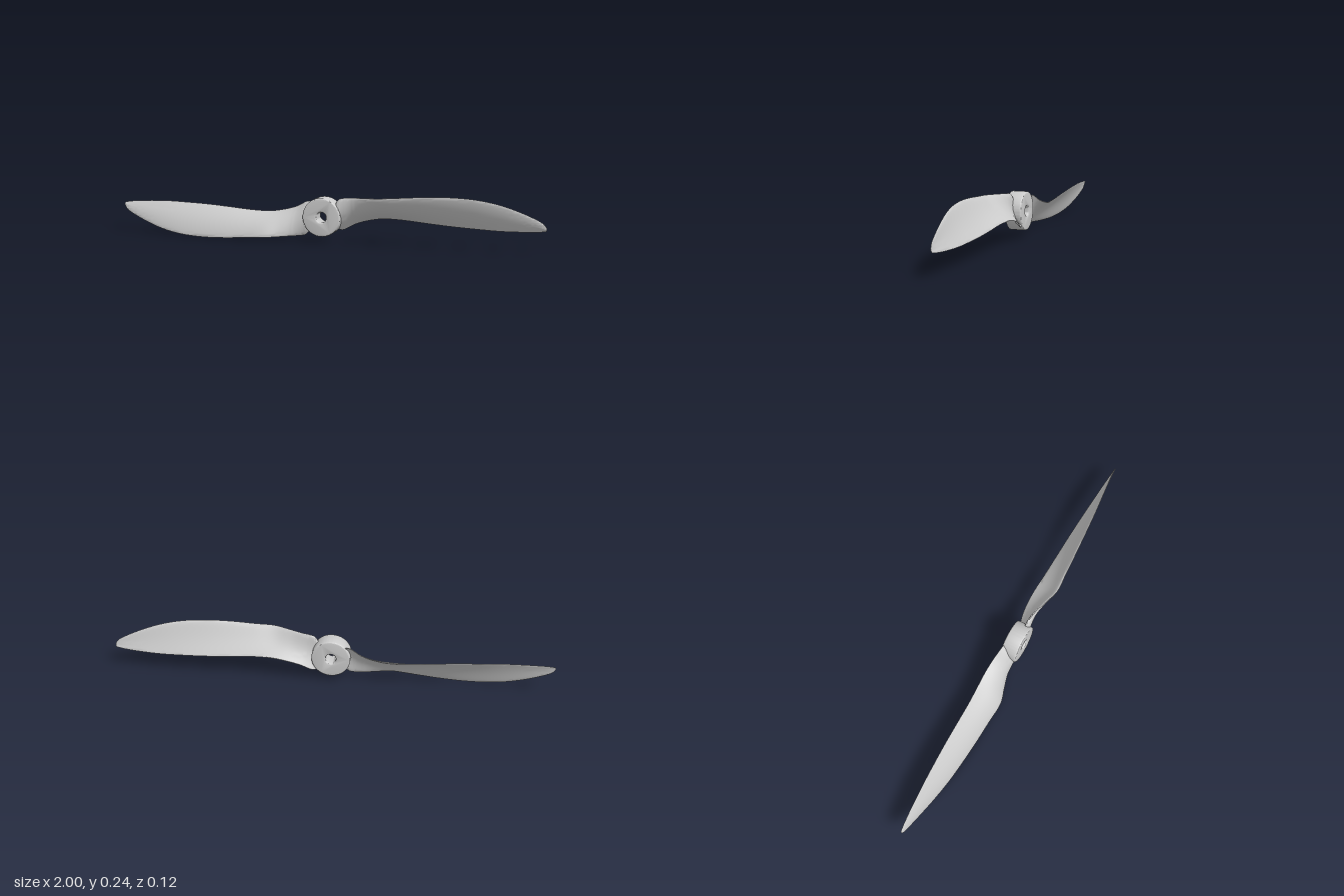
import * as THREE from 'three';
import { toCreasedNormals } from 'three/addons/utils/BufferGeometryUtils.js';

const CENTER_Y = 0.1185;

// Blade stations: x, leading edge y z, trailing edge y z, thickness
const STATIONS = [
  [0.06, 0.18, 0.0, 0.062, -0.044, 0.045],
  [0.075, 0.2, 0.002, 0.056, -0.046, 0.047],
  [0.095, 0.208, 0.004, 0.06, -0.049, 0.042],
  [0.14, 0.212, 0.012, 0.084, -0.058, 0.035],
  [0.2, 0.216, 0.031, 0.102, -0.063, 0.031],
  [0.27, 0.22, 0.051, 0.113, -0.062, 0.028],
  [0.36, 0.226, 0.046, 0.112, -0.058, 0.025],
  [0.47, 0.234, 0.04, 0.103, -0.056, 0.022],
  [0.58, 0.237, 0.032, 0.095, -0.054, 0.02],
  [0.69, 0.231, 0.022, 0.09, -0.05, 0.017],
  [0.79, 0.213, 0.009, 0.087, -0.045, 0.014],
  [0.88, 0.184, -0.004, 0.089, -0.039, 0.011],
  [0.95, 0.154, -0.014, 0.093, -0.033, 0.008],
  [0.985, 0.134, -0.019, 0.097, -0.029, 0.006],
  [1.0, 0.115, -0.022, 0.101, -0.027, 0.003],
];

const curveOf = (pick) =>
  new THREE.CatmullRomCurve3(STATIONS.map((s) => new THREE.Vector3(...pick(s))), false, 'catmullrom', 0.5);

function bladeGeometry() {
  const lead = curveOf((s) => [s[0], s[1] - CENTER_Y, s[2]]);
  const trail = curveOf((s) => [s[0], s[3] - CENTER_Y, s[4]]);
  const thick = curveOf((s) => [s[0], s[5], 0]);
  const rings = 84, half = 16, n = half * 2;
  const pos = [], index = [];
  for (let i = 0; i <= rings; i++) {
    const L = lead.getPoint(i / rings), T = trail.getPoint(i / rings);
    const t = thick.getPoint(i / rings).y;
    const dy = L.y - T.y, dz = L.z - T.z, len = Math.hypot(dy, dz);
    for (let j = 0; j < n; j++) {
      // Cambered aerofoil: over the front to the trailing edge, back along the rear
      const side = j <= half ? 1 : -1;
      const c = (1 - Math.cos((Math.PI * (j <= half ? j : n - j)) / half)) / 2;
      const foil = 5 * (0.2969 * Math.sqrt(c) - 0.126 * c - 0.3516 * c ** 2 + 0.2843 * c ** 3 - 0.1036 * c ** 4);
      const off = t * (0.45 * Math.sin(Math.PI * c) + side * (foil * 1.0 * 0.55 + 0.03 * c));
      pos.push(L.x, L.y - dy * c - (dz / len) * off, L.z - dz * c + (dy / len) * off);
    }
  }
  for (let i = 0; i < rings; i++) {
    for (let j = 0; j < n; j++) {
      const a = i * n + j, b = i * n + ((j + 1) % n);
      index.push(a, b, a + n, b, b + n, a + n);
    }
  }
  // Root and tip caps, stitched front to rear
  const end = rings * n;
  for (let j = 0; j < half; j++) {
    const a = j, b = j + 1, c = n - j - 1, d = (n - j) % n;
    index.push(a, c, b, a, d, c);
    index.push(end + a, end + b, end + c, end + a, end + c, end + d);
  }
  const g = new THREE.BufferGeometry();
  g.setAttribute('position', new THREE.Float32BufferAttribute(pos, 3));
  g.setIndex(index);
  return toCreasedNormals(g, 0.9);
}

function hubGeometry() {
  const bevel = 0.006;
  const disc = new THREE.Shape().absarc(0, 0, 0.088 - bevel, 0, Math.PI * 2);
  disc.holes.push(new THREE.Path().absarc(0, 0, 0.028 + bevel * 0.3, 0, Math.PI * 2, true));
  const g = new THREE.ExtrudeGeometry(disc, {
    depth: 0.075 - 2 * bevel, curveSegments: 48,
    bevelEnabled: true, bevelSize: bevel, bevelThickness: bevel, bevelSegments: 3,
  });
  g.translate(0, 0, -0.049 + bevel);
  return toCreasedNormals(g, 0.6);
}

export function createModel() {
  const material = new THREE.MeshStandardMaterial({ color: 0xcccccc });
  const model = new THREE.Group();
  model.name = 'propeller';

  const hub = new THREE.Mesh(hubGeometry(), material);
  hub.name = 'hub';
  hub.position.y = CENTER_Y;
  model.add(hub);

  // Two identical blades, half a turn apart
  const geometry = bladeGeometry();
  ['leftBlade', 'rightBlade'].forEach((name, i) => {
    const blade = new THREE.Mesh(geometry, material);
    blade.name = name;
    blade.position.y = CENTER_Y;
    blade.rotation.z = i * Math.PI;
    model.add(blade);
  });
  return model;
}
